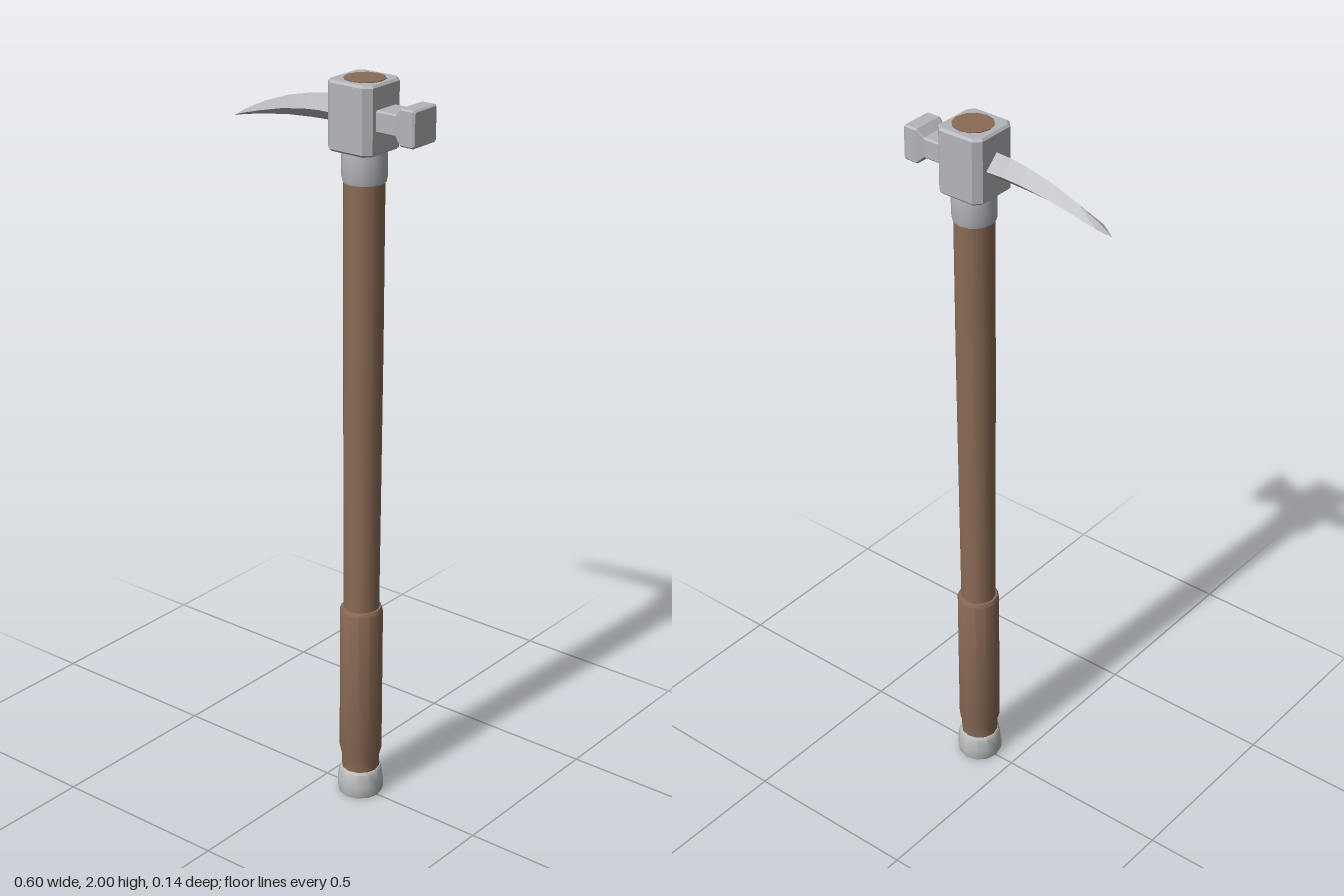
import * as THREE from 'three';
import { toCreasedNormals } from 'three/addons/utils/BufferGeometryUtils.js';

const CX = 0.117; // handle axis

// Flat-shaded skin over rings of [x, y, z] points that advance along +x
function loft(rings) {
  const pos = [];
  const n = rings[0].length;
  for (let i = 0; i < rings.length - 1; i++) {
    for (let j = 0; j < n; j++) {
      const k = (j + 1) % n;
      const a = rings[i][j], b = rings[i][k], c = rings[i + 1][k], d = rings[i + 1][j];
      pos.push(...a, ...b, ...c, ...a, ...c, ...d);
    }
  }
  const first = rings[0], last = rings[rings.length - 1];
  for (let j = 1; j < n - 1; j++) {
    pos.push(...first[0], ...first[j + 1], ...first[j]);
    pos.push(...last[0], ...last[j], ...last[j + 1]);
  }
  const g = new THREE.BufferGeometry();
  g.setAttribute('position', new THREE.Float32BufferAttribute(pos, 3));
  g.computeVertexNormals();
  return g;
}

// Turned part: smooth around its sides, sharp at its steps
function turned(profile) {
  const points = profile.map(([r, y]) => new THREE.Vector2(r, y));
  const g = toCreasedNormals(new THREE.LatheGeometry(points, 12), 0.6);
  return g.translate(CX, 0, 0);
}

export function createModel() {
  const group = new THREE.Group();
  const material = (name, color) => new THREE.MeshStandardMaterial({ name, color });
  const wood = material('wood', 0x8b6b55);
  const steel = material('steel', 0xb4b5ba);
  const capMetal = material('pale metal', 0xbcbdbd);
  const add = (name, geometry, mat) => {
    const mesh = new THREE.Mesh(geometry, mat);
    mesh.name = name;
    group.add(mesh);
  };

  // Shaft runs right through the head and shows on top
  add('handle', turned([[0, 0.04], [0.048, 0.04], [0.048, 0.6], [0.052, 1.3],
    [0.053, 2], [0, 2]]), wood);

  // Thicker grip with bevelled ends
  add('grip', turned([[0.047, 0.07], [0.051, 0.07], [0.052, 0.115], [0.058, 0.135],
    [0.058, 0.555], [0.054, 0.565], [0.046, 0.565]]), wood);

  // End cap
  add('pommel', turned([[0, 0], [0.06, 0], [0.063, 0.01], [0.063, 0.035],
    [0.058, 0.07], [0.054, 0.076], [0, 0.076]]), capMetal);

  // Sleeve under the head
  add('collar', turned([[0.05, 1.74], [0.055, 1.74], [0.058, 1.752],
    [0.058, 1.81], [0.055, 1.83]]), steel);

  // Head block: rectangle with cut corners and a small bevel
  const w = 0.063, d = 0.065, c = 0.015, bevel = 0.006;
  const outline = [[w, d - c], [w - c, d], [c - w, d], [-w, d - c],
    [-w, c - d], [c - w, -d], [w - c, -d], [w, c - d]];
  const block = new THREE.ExtrudeGeometry(
    new THREE.Shape(outline.map(([x, y]) => new THREE.Vector2(x, y))),
    { depth: 0.165, bevelEnabled: true, bevelThickness: bevel, bevelSize: bevel, bevelSegments: 1 });
  block.rotateX(-Math.PI / 2).translate(0.114, 1.827, 0);
  add('headBlock', block, steel);

  // Hammer: neck flaring into a square face; stations are x, half height, half width
  const hy = 1.908;
  const hammerRing = ([x, h, z]) => {
    const k = 0.004;
    return [[x, hy + h, -z + k], [x, hy + h, z - k], [x, hy + h - k, z], [x, hy - h + k, z],
      [x, hy - h, z - k], [x, hy - h, -z + k], [x, hy - h + k, -z], [x, hy + h - k, -z]];
  };
  add('hammer', loft([[0.17, 0.028, 0.04], [0.241, 0.028, 0.04], [0.26, 0.047, 0.046],
    [0.297, 0.047, 0.046], [0.302, 0.043, 0.042]].map(hammerRing)), steel);

  // Pick: curved diamond section; stations are x, top, side, bottom, half width
  const pickRing = ([x, top, side, bottom, z]) =>
    [[x, top, 0], [x, side, z], [x, bottom, 0], [x, side, -z]];
  add('pick', loft([
    [-0.302, 1.837, 1.836, 1.835, 0.0005],
    [-0.265, 1.859, 1.85, 1.844, 0.016],
    [-0.2, 1.89, 1.869, 1.856, 0.021],
    [-0.125, 1.917, 1.888, 1.867, 0.027],
    [-0.05, 1.935, 1.901, 1.873, 0.033],
    [0.0, 1.942, 1.906, 1.875, 0.036],
    [0.06, 1.945, 1.908, 1.874, 0.041],
  ].map(pickRing)), steel);

  return group;
}
